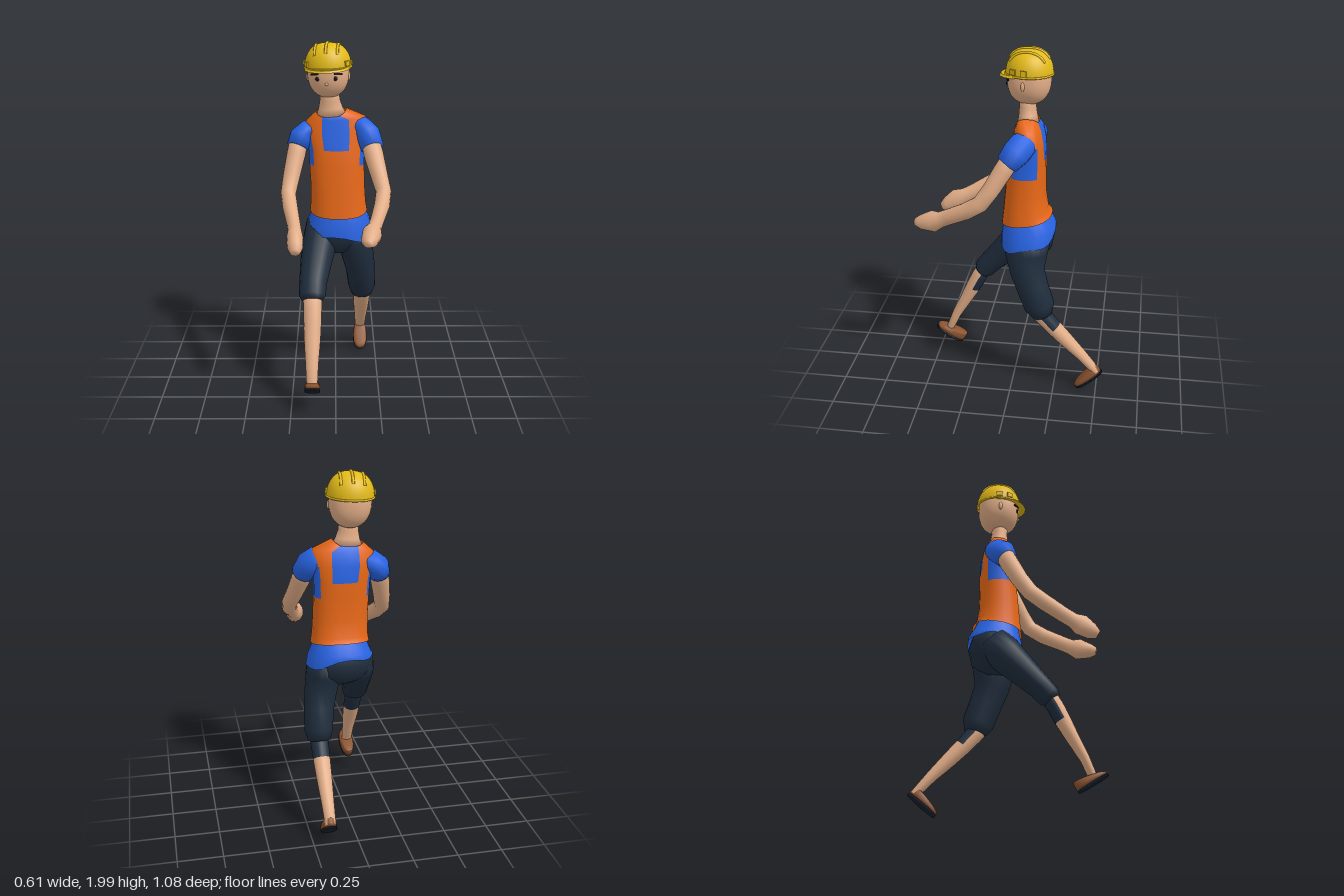
import * as THREE from 'three';

const mat = (name, color, side = THREE.FrontSide) => {
  const m = new THREE.MeshStandardMaterial({ color, side });
  m.name = name;
  return m;
};
const V = (x, y, z) => new THREE.Vector3(x, y, z);
const power = (v, p) => Math.sign(v) * Math.abs(v) ** p;

// Skin a stack of point rings; pick(i, j) gives the material index of a quad.
function loft(name, rings, material, { pick = () => 0, caps = true } = {}) {
  const n = rings[0].length, pos = [], lists = [[], []];
  rings.forEach(r => r.forEach(p => pos.push(p.x, p.y, p.z)));
  for (let i = 0; i < rings.length - 1; i++) for (let j = 0; j < n; j++) {
    const a = i * n + j, b = i * n + (j + 1) % n;
    lists[pick(i, j)].push(a, b, a + n, b, b + n, a + n);
  }
  if (caps) [0, rings.length - 1].forEach((k, end) => {
    const c = rings[k].reduce((s, p) => s.add(p), V(0, 0, 0)).divideScalar(n);
    const id = pos.length / 3;
    pos.push(c.x, c.y, c.z);
    for (let j = 0; j < n; j++) {
      const a = k * n + j, b = k * n + (j + 1) % n;
      lists[0].push(...(end ? [id, a, b] : [id, b, a]));
    }
  });
  const g = new THREE.BufferGeometry();
  g.setAttribute('position', new THREE.Float32BufferAttribute(pos, 3));
  g.setIndex([...lists[0], ...lists[1]]);
  if (Array.isArray(material)) {
    g.addGroup(0, lists[0].length, 0);
    g.addGroup(lists[0].length, lists[1].length, 1);
  }
  g.computeVertexNormals();
  const mesh = new THREE.Mesh(g, material);
  mesh.name = name;
  return mesh;
}

// Rings square to a path; each section is [x, y, z, half width, half depth].
function limb(sections, n = 16) {
  const c = sections.map(s => V(s[0], s[1], s[2]));
  return sections.map((s, i) => {
    const t = c[Math.min(i + 1, c.length - 1)].clone().sub(c[Math.max(i - 1, 0)]).normalize();
    const u = V(1, 0, 0).addScaledVector(t, -t.x).normalize();
    const v = t.clone().cross(u);
    return Array.from({ length: n }, (_, j) => {
      const a = j / n * Math.PI * 2;
      return c[i].clone().addScaledVector(u, s[3] * Math.cos(a)).addScaledVector(v, (s[4] ?? s[3]) * Math.sin(a));
    });
  });
}

// Level rings, top down: [y, cx, cz, rx, rz, front drop, side drop, squareness].
const levels = (rows, lift = () => 0) => rows.map(([y, cx, cz, rx, rz, drop = 0, side = 0, p = 0.85], i) =>
  Array.from({ length: 24 }, (_, j) => {
    const a = (j + 0.5) / 24 * Math.PI * 2, c = Math.cos(a), s = Math.sin(a);
    return V(cx + rx * power(c, p), y - drop * s - side * c + lift(i, a), cz + rz * power(s, p));
  }));

export function createModel() {
  const skin = mat('skin', 0xe2ad87);
  const orange = mat('vest orange', 0xe96817, THREE.DoubleSide);
  const blue = mat('shirt blue', 0x2864e4, THREE.DoubleSide);
  const navy = mat('trouser navy', 0x1f2d3d);
  const brown = mat('shoe brown', 0x8a532f);
  const dark = mat('sole black', 0x18202c);
  const yellow = mat('helmet yellow', 0xe3ba18, THREE.DoubleSide);
  const black = mat('face black', 0x17120f);
  const model = new THREE.Group();
  model.name = 'walkingWorker';

  // Vest over the shirt: centre panels and underarm sides stay blue, neckline dips front and back
  model.add(loft('vestAndShirt', levels([
    [1.625, -0.025, -0.067, 0.083, 0.06, 0.004, -0.008, 0.55],
    [1.575, 0, -0.075, 0.168, 0.078, 0, -0.013],
    [1.5, 0, -0.078, 0.172, 0.09],
    [1.41, 0.005, -0.07, 0.158, 0.103],
    [1.32, 0.007, -0.065, 0.155, 0.107],
    [1.2, 0.012, -0.06, 0.153, 0.114],
    [1.1, 0.015, -0.063, 0.157, 0.126],
    [1.05, 0.017, -0.07, 0.164, 0.142, 0.025],
  ], (i, a) => i === 0 ? -0.028 * Math.sin(a) ** 2 : 0), [blue, orange], {
    caps: false,
    pick: (i, j) => {
      const s = Math.abs(Math.sin((j + 1) / 24 * Math.PI * 2));
      const side = s < 0.6 && (i === 2 || i === 3), panel = s > 0.92 && i < 3;
      return side || panel ? 0 : 1;
    },
  }));

  // Shirt tail, low on the left and high at the back
  model.add(loft('shirtTail', levels([
    [1.1, 0.016, -0.064, 0.14, 0.112, 0.02],
    [1.035, 0.018, -0.072, 0.157, 0.134, 0.02],
    [0.985, 0.02, -0.08, 0.178, 0.153, 0.025],
    [0.937, 0.022, -0.08, 0.188, 0.154, 0.035, 0.028],
  ], (i, a) => i === 3 ? 0.012 * Math.cos(4 * a) : 0), blue, { caps: false }));

  // Trousers
  model.add(loft('trouserSeat', levels([
    [1.02, 0.02, -0.08, 0.145, 0.125], [0.95, 0.02, -0.08, 0.176, 0.149],
    [0.88, 0.02, -0.078, 0.168, 0.137], [0.83, 0.015, -0.068, 0.12, 0.1], [0.8, 0.01, -0.06, 0.06, 0.06],
  ]), navy));
  model.add(loft('rightTrouserLeg', limb([
    [-0.07, 0.95, -0.09, 0.1, 0.11], [-0.092, 0.86, -0.02, 0.1, 0.1], [-0.112, 0.77, 0.065, 0.09, 0.083],
    [-0.128, 0.675, 0.155, 0.078, 0.068], [-0.132, 0.62, 0.203, 0.076, 0.064], [-0.132, 0.598, 0.22, 0.06, 0.05],
  ]), navy));
  model.add(loft('leftTrouserLeg', limb([
    [0.1, 0.96, -0.085, 0.1, 0.13], [0.112, 0.86, -0.075, 0.1, 0.122], [0.13, 0.76, -0.085, 0.093, 0.1],
    [0.148, 0.66, -0.12, 0.086, 0.092], [0.157, 0.55, -0.16, 0.081, 0.089], [0.157, 0.495, -0.178, 0.064, 0.06],
  ]), navy));

  // Lower legs, dark on the upper back half
  const calf = { pick: (i, j) => i < 2 && j >= 8 ? 1 : 0 };
  model.add(loft('rightCalf', limb([
    [-0.13, 0.63, 0.195, 0.053, 0.046], [-0.13, 0.56, 0.237, 0.052, 0.046], [-0.13, 0.485, 0.275, 0.05, 0.044],
    [-0.131, 0.4, 0.32, 0.046, 0.037], [-0.132, 0.28, 0.385, 0.036, 0.027], [-0.132, 0.16, 0.435, 0.03, 0.022],
  ]), [skin, navy], calf));
  model.add(loft('leftCalf', limb([
    [0.157, 0.54, -0.135, 0.053, 0.05], [0.157, 0.482, -0.183, 0.052, 0.051], [0.157, 0.41, -0.245, 0.049, 0.047],
    [0.157, 0.335, -0.315, 0.045, 0.042], [0.157, 0.237, -0.408, 0.037, 0.032], [0.157, 0.13, -0.5, 0.031, 0.024],
  ]), [skin, navy], calf));

  // Shoes: local toe towards +z, sole on y = 0, origin at mid sole
  const shoe = (name, x, y, z, pitch) => {
    const g = new THREE.Group();
    g.name = name;
    const layer = (h, w, l, cz = 0, slope = 0) => Array.from({ length: 20 }, (_, j) => {
      const a = j / 20 * Math.PI * 2, s = power(Math.sin(a), 0.85);
      return V(w * power(Math.cos(a), 0.8) * (1 + 0.1 * s), h - slope * s, cz + l * s);
    });
    g.add(loft('sole', [layer(0.014, 0.043, 0.096), layer(0, 0.043, 0.096)], dark));
    g.add(loft('upper', [
      layer(0.058, 0.029, 0.05, -0.04, 0.006), layer(0.047, 0.039, 0.083, -0.011, 0.01),
      layer(0.03, 0.043, 0.094, -0.001, 0.003), layer(0.013, 0.0425, 0.095),
    ], brown));
    g.position.set(x, y, z);
    g.rotation.x = pitch;
    model.add(g);
  };
  shoe('rightShoe', -0.13, 0.136, 0.432, -0.56);
  shoe('leftShoe', 0.157, 0.07, -0.462, 0.68);

  // Sleeves, arms and closed hands
  model.add(loft('leftSleeve', limb([
    [0.08, 1.54, -0.075, 0.045, 0.055], [0.145, 1.525, -0.062, 0.062, 0.075], [0.183, 1.487, -0.028, 0.068, 0.077], [0.203, 1.43, 0.018, 0.065, 0.063],
  ]), blue));
  model.add(loft('leftArm', limb([
    [0.19, 1.47, -0.01, 0.052], [0.212, 1.39, 0.04, 0.055, 0.052], [0.24, 1.29, 0.1, 0.048, 0.048],
    [0.262, 1.215, 0.155, 0.043, 0.047], [0.25, 1.16, 0.24, 0.043, 0.047], [0.22, 1.105, 0.345, 0.037, 0.045],
    [0.205, 1.08, 0.39, 0.037, 0.046], [0.19, 1.06, 0.435, 0.053, 0.063], [0.174, 1.045, 0.505, 0.045, 0.042], [0.165, 1.04, 0.54, 0.025, 0.022],
  ]), skin));
  model.add(loft('rightSleeve', limb([
    [-0.09, 1.52, -0.085, 0.045, 0.055], [-0.155, 1.503, -0.085, 0.061, 0.078], [-0.196, 1.465, -0.065, 0.067, 0.078], [-0.214, 1.42, -0.04, 0.061, 0.064],
  ]), blue));
  model.add(loft('rightArm', limb([
    [-0.205, 1.46, -0.06, 0.052], [-0.222, 1.38, -0.025, 0.053], [-0.247, 1.27, 0.03, 0.048],
    [-0.263, 1.185, 0.085, 0.043, 0.047], [-0.25, 1.13, 0.17, 0.042, 0.047], [-0.228, 1.07, 0.28, 0.037, 0.044],
    [-0.22, 1.045, 0.33, 0.037, 0.044], [-0.218, 1.02, 0.375, 0.045, 0.062], [-0.215, 0.985, 0.435, 0.042, 0.046], [-0.213, 0.968, 0.47, 0.026, 0.024],
  ]), skin));

  // Neck, filling the neckline
  model.add(loft('neck', limb([
    [-0.035, 1.76, -0.06, 0.052, 0.047], [-0.032, 1.68, -0.063, 0.056, 0.047],
    [-0.028, 1.635, -0.065, 0.068, 0.052], [-0.025, 1.59, -0.067, 0.088, 0.06],
  ]), skin));

  // Head group, turned slightly to its right
  const head = new THREE.Group();
  head.name = 'head';
  head.position.set(-0.04, 1.835, -0.07);
  head.rotation.set(0, -0.1, 0.04);
  model.add(head);
  const add = (name, geometry, material, x, y, z) => {
    const m = new THREE.Mesh(geometry, material);
    m.name = name;
    m.position.set(x, y, z);
    head.add(m);
    return m;
  };
  const skull = new THREE.SphereGeometry(1, 32, 24), sp = skull.attributes.position;
  for (let i = 0; i < sp.count; i++) {
    sp.setXYZ(i, 0.116 * power(sp.getX(i), 0.92), 0.14 * power(sp.getY(i), 0.9), 0.12 * power(sp.getZ(i), 0.8));
  }
  skull.computeVertexNormals();
  add('skull', skull, skin, 0, 0, 0);
  for (const s of [-1, 1]) {
    add('eye', new THREE.SphereGeometry(1, 12, 8), black, s * 0.05, -0.022, 0.111).scale.set(0.011, 0.013, 0.005);
    const brow = add('eyebrow', new THREE.BoxGeometry(0.046, 0.009, 0.009), black, s * 0.064, 0.003, 0.105);
    brow.rotation.set(0, s * 0.4, -s * 0.08);
    add('ear', new THREE.SphereGeometry(1, 12, 10), skin, s * 0.114, -0.022, 0.012).scale.set(0.01, 0.025, 0.011);
  }
  add('nose', new THREE.SphereGeometry(1, 12, 8), skin, 0, -0.052, 0.114).scale.set(0.009, 0.009, 0.011);

  // Hard hat
  const domeY = r => 0.03 + 0.13 * Math.sqrt(Math.max(0, 1 - (r / 0.13) ** 2.6));
  const profile = Array.from({ length: 15 }, (_, i) => {
    const r = 0.13 * Math.cos(i / 14 * Math.PI / 2);
    return new THREE.Vector2(r, domeY(r));
  });
  add('helmetShell', new THREE.LatheGeometry(profile, 32), yellow, 0, 0, 0);
  add('helmetRim', new THREE.TorusGeometry(0.129, 0.006, 8, 32).rotateX(Math.PI / 2), yellow, 0, 0.028, 0);
  const visor = add('helmetVisor', new THREE.CylinderGeometry(0.118, 0.127, 0.012, 32), yellow, 0, 0.028, 0.036);
  visor.rotation.x = 0.06;
  for (const x of [-0.062, 0, 0.062]) {
    const span = x ? 0.095 : 0.108;
    const path = Array.from({ length: 11 }, (_, i) => {
      const z = span * (i / 5 - 1);
      return V(x, domeY(Math.hypot(x, z)), z);
    });
    add('helmetRidge', new THREE.TubeGeometry(new THREE.CatmullRomCurve3(path), 24, 0.008, 8), yellow, 0, 0, 0);
  }
  for (const s of [-1, 1]) for (const z of [0.065, 0.005]) {
    const clip = add('helmetClip', new THREE.BoxGeometry(0.014, 0.028, 0.034), yellow, s * Math.sqrt(0.128 ** 2 - z * z), 0.052, z);
    clip.rotation.y = -s * Math.asin(z / 0.13);
  }
  return model;
}
